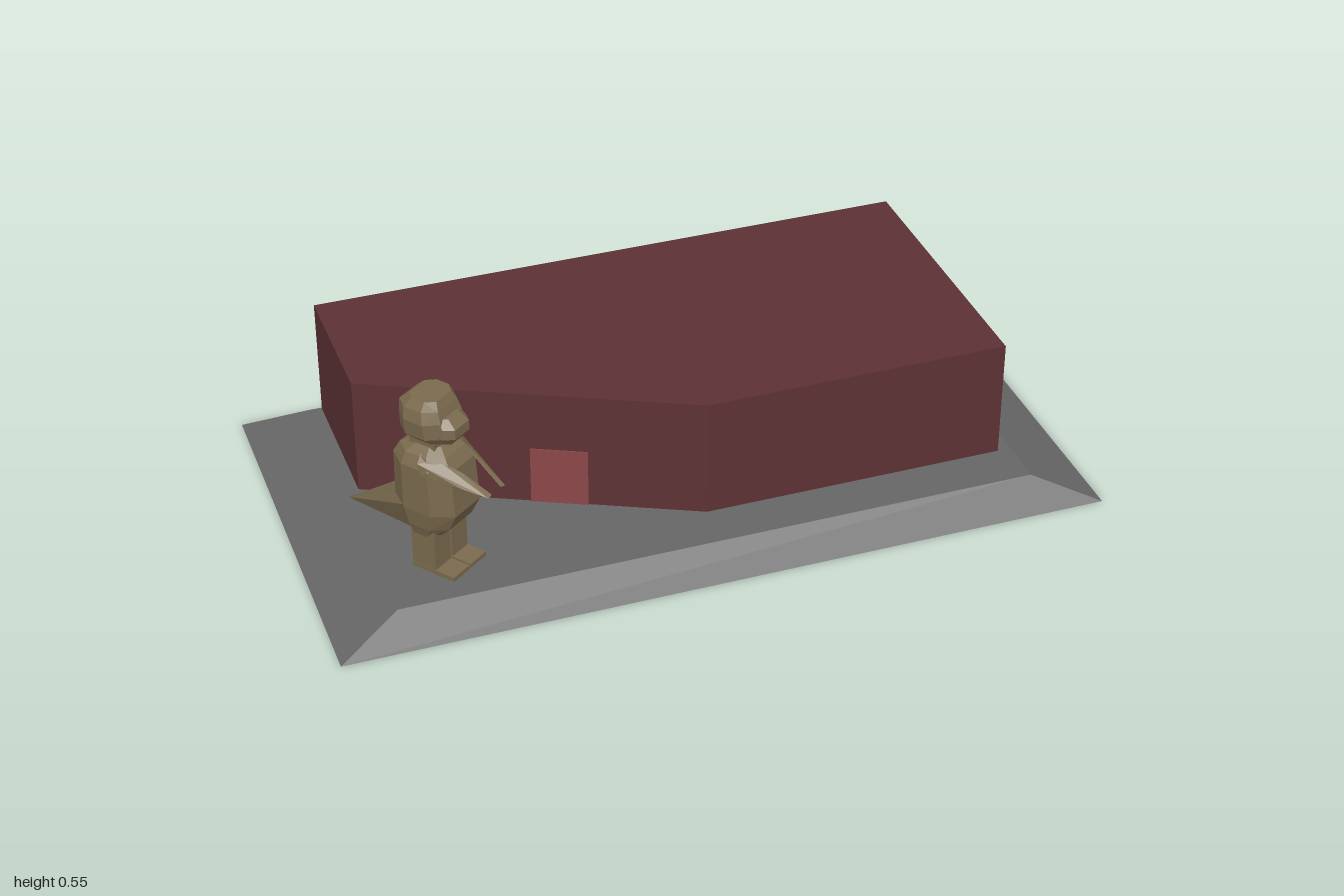
import * as THREE from 'three';
import { ConvexGeometry } from 'three/addons/geometries/ConvexGeometry.js';

const paint = (color) => new THREE.MeshStandardMaterial({ color, flatShading: true });
const stone = paint(0x666666), brick = paint(0x5c3235), doorRed = paint(0x8a4648), bronze = paint(0x7a6a4e);

function part(name, geometry, material) {
  const mesh = new THREE.Mesh(geometry, material);
  mesh.name = name;
  return mesh;
}

// Faceted solid wrapped around a few points
const hull = (points) => new ConvexGeometry(points.map((p) => new THREE.Vector3(...p)));

// Chamfered sections [y, half width, back z, front z] wrapped into one solid
function sections(rows, chamfer = 0.6) {
  const points = [];
  for (const [y, w, back, front] of rows) {
    const mid = (back + front) / 2, half = (front - back) / 2;
    for (const s of [-1, 1]) {
      points.push([s * w, y, mid - half * 0.45], [s * w, y, mid + half * 0.45]);
      points.push([s * w * chamfer, y, back], [s * w * chamfer, y, front]);
    }
  }
  return hull(points);
}

function box(name, w, h, d, x, y, z) {
  const mesh = part(name, new THREE.BoxGeometry(w, h, d), bronze);
  mesh.position.set(x, y, z);
  return mesh;
}

function createStatue() {
  const statue = new THREE.Group();
  statue.name = 'statue';

  // Head with a blunt muzzle and brow
  statue.add(part('head', sections([
    [0.435, 0.045, -0.045, 0.05],
    [0.457, 0.066, -0.07, 0.058],
    [0.5, 0.07, -0.07, 0.055],
    [0.53, 0.062, -0.07, 0.045],
    [0.552, 0.048, -0.045, 0.035],
  ]), bronze));
  statue.add(part('muzzle', sections([
    [0.438, 0.034, 0, 0.068],
    [0.462, 0.047, 0, 0.086],
    [0.488, 0.045, 0, 0.086],
    [0.508, 0.036, 0, 0.062],
  ]), bronze));
  statue.add(box('neck', 0.085, 0.04, 0.075, 0, 0.425, -0.005));

  // Body
  statue.add(part('body', sections([
    [0.422, 0.042, -0.045, 0.04],
    [0.405, 0.066, -0.075, 0.062],
    [0.375, 0.08, -0.09, 0.083],
    [0.25, 0.082, -0.09, 0.092],
    [0.2, 0.074, -0.07, 0.068],
    [0.168, 0.064, -0.05, 0.036],
  ]), bronze));

  // Pointed tail sweeping down behind
  const tail = [[0, 0.13, -0.284]];
  for (const s of [-1, 1]) {
    tail.push([s * 0.08, 0.255, -0.04], [s * 0.048, 0.255, -0.09], [s * 0.05, 0.168, -0.03]);
  }
  statue.add(part('tail', hull(tail), bronze));

  // Arms, legs and feet
  for (const s of [-1, 1]) {
    const side = s > 0 ? 'left' : 'right';
    const arm = [
      [0.06, 0.41, 0.005], [0.083, 0.395, 0.01], [0.084, 0.365, 0.02], [0.05, 0.4, 0.05],
      [0.068, 0.352, 0.075], [0.03, 0.375, 0.105], [0.055, 0.348, 0.12],
      [0.018, 0.335, 0.18], [0.033, 0.332, 0.182],
    ];
    statue.add(part(side + 'Arm', hull(arm.map(([x, y, z]) => [s * x, y, z])), bronze));
    statue.add(box(side + 'Leg', 0.06, 0.135, 0.07, s * 0.034, 0.1325, 0));
    statue.add(box(side + 'Foot', 0.062, 0.012, 0.125, s * 0.034, 0.071, 0.028));
  }

  statue.position.set(-0.68, 0, 0.28);
  statue.rotation.y = Math.atan2(0.6, 0.8);
  return statue;
}

export function createModel() {
  const model = new THREE.Group();

  // Plinth with sloping edges
  const plinth = [];
  for (const sx of [-1, 1]) for (const sz of [-1, 1]) {
    plinth.push([sx, 0, sz * 0.535], [sx * 0.835, 0.065, sz * 0.45]);
  }
  model.add(part('plinth', hull(plinth), stone));

  // Building with one corner cut away
  const plan = [[-0.8, -0.445], [-0.8, -0.06], [0, 0.325], [0.8, 0.325], [0.8, -0.445]];
  const shape = new THREE.Shape(plan.map(([x, z]) => new THREE.Vector2(x, -z)));
  const walls = new THREE.ExtrudeGeometry(shape, { depth: 0.322, bevelEnabled: false });
  walls.rotateX(-Math.PI / 2).translate(0, 0.065, 0);
  model.add(part('building', walls, brick));

  // Door on the slanted wall
  const door = part('door', new THREE.BoxGeometry(0.146, 0.16, 0.006), doorRed);
  door.position.set(-0.335, 0.145, 0.164);
  door.rotation.y = -Math.atan2(0.385, 0.8);
  model.add(door);

  model.add(createStatue());
  return model;
}
